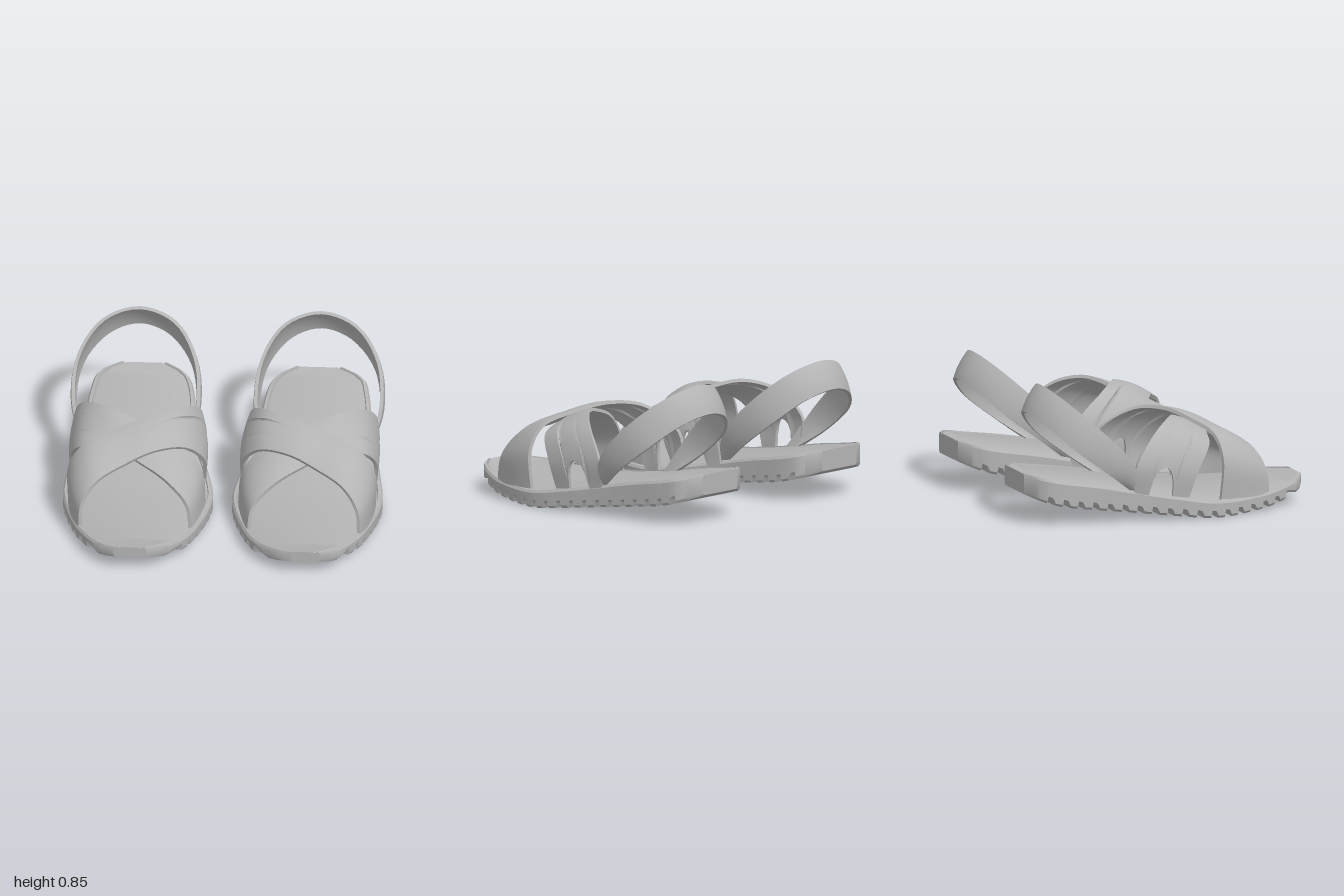
import * as THREE from 'three';
import { toCreasedNormals } from 'three/addons/utils/BufferGeometryUtils.js';

const V = (p) => new THREE.Vector3(...p);

// Skin closed rings (upper row then lower row reversed) and close both ends with strips
function loft(rings, crease) {
  const m = rings[0].length, pos = [], idx = [];
  rings.forEach((r) => r.forEach((p) => pos.push(p.x, p.y, p.z)));
  const quad = (a, b, c, d) => idx.push(a, b, c, a, c, d);
  for (let i = 0; i < rings.length - 1; i++) {
    for (let j = 0; j < m; j++) {
      const k = (j + 1) % m;
      quad(i * m + j, i * m + k, (i + 1) * m + k, (i + 1) * m + j);
    }
  }
  const e = (rings.length - 1) * m;
  for (let j = 0; j < m / 2 - 1; j++) {
    quad(m - 1 - j, m - 2 - j, j + 1, j);
    quad(e + j, e + j + 1, e + m - 2 - j, e + m - 1 - j);
  }
  const g = new THREE.BufferGeometry();
  g.setAttribute('position', new THREE.Float32BufferAttribute(pos, 3));
  g.setIndex(idx);
  return toCreasedNormals(g, crease);
}

// Sole stations from heel to toe: z, inner x, outer x, top y, bottom y
const SOLE = [
  [-0.95, 0.39, 0.71, 0.325, 0.19], [-0.87, 0.28, 0.83, 0.31, 0.155],
  [-0.75, 0.23, 0.87, 0.285, 0.12], [-0.5, 0.2, 0.9, 0.245, 0.085],
  [-0.25, 0.17, 0.935, 0.195, 0.055], [0, 0.1, 0.98, 0.15, 0.025],
  [0.25, 0.06, 1.0, 0.113, 0], [0.6, 0.145, 0.91, 0.12, 0.02],
  [0.8, 0.24, 0.81, 0.145, 0.055], [0.9, 0.35, 0.73, 0.165, 0.08],
  [0.945, 0.44, 0.65, 0.175, 0.1],
];

// Smooth value of one column of the sole table at z
function soleAt(z, c) {
  let i = 0;
  while (i < SOLE.length - 2 && z > SOLE[i + 1][0]) i++;
  const slope = (k) => {
    const a = SOLE[Math.max(k - 1, 0)], b = SOLE[Math.min(k + 1, SOLE.length - 1)];
    return (b[c] - a[c]) / (b[0] - a[0]);
  };
  const p = SOLE[i], q = SOLE[i + 1], h = q[0] - p[0], t = (z - p[0]) / h;
  const t2 = t * t, t3 = t2 * t;
  return p[c] * (2 * t3 - 3 * t2 + 1) + q[c] * (3 * t2 - 2 * t3)
    + h * (slope(i) * (t3 - 2 * t2 + t) + slope(i + 1) * (t3 - t2));
}

// Sole with raised welt, inset footbed and cross grooves underneath
function soleGeometry() {
  const stations = [[-0.95, 0], [-0.92, 0]];
  for (let z = -0.89; z < 0.8; z += 0.095) {
    stations.push([z, 0], [z + 0.045, 0], [z + 0.053, 0.035], [z + 0.08, 0.03]);
  }
  stations.push([0.87, 0], [0.91, 0], [0.945, 0]);
  const edge = [[0, -0.02, 0.015], [0.012, -0.003, 0], [0.03, 0, 0], [0.034, -0.012, 0], [0.05, -0.005, 0]];
  const rings = stations.map(([z, cut]) => {
    const [x0, x1, t, b] = [1, 2, 3, 4].map((c) => soleAt(z, c));
    const cols = [
      ...edge.map(([d, a, l]) => [x0 + d, t + a, b + cut + l]),
      ...edge.map(([d, a, l]) => [x1 - d, t + a, b + cut + l]).reverse(),
    ];
    return [
      ...cols.map(([x, , l]) => V([x, l, z])),
      ...cols.map(([x, u]) => V([x, u, z])).reverse(),
    ];
  });
  return loft(rings, 0.5);
}

// Curved strap between a front edge and a back edge, running from outer to inner side.
// notch: 0 none, 1 cut-out at the outer end, -1 cut-out at the inner end
function strapGeometry(front, back, { bulge = 0.015, thick = 0.022, notch = 0 } = {}) {
  const A = new THREE.CatmullRomCurve3(front.map(V)), B = new THREE.CatmullRomCurve3(back.map(V));
  const NU = 40, NV = 20;
  const point = (t, v) => A.getPoint(t).lerp(B.getPoint(t), v);
  const rings = [];
  for (let i = 0; i <= NU; i++) {
    const outer = [], inner = [];
    for (let j = 0; j <= NV; j++) {
      const v = j / NV, w = (v - 0.53) / 0.21;
      const cut = notch && Math.abs(w) < 1 ? 0.14 * Math.sqrt(1 - w * w) : 0;
      const u = i / NU;
      const t = notch > 0 ? cut + (1 - cut) * u : (1 - cut) * u;
      const t0 = Math.max(t - 0.01, 0), t1 = Math.min(t + 0.01, 1);
      const du = point(t1, v).sub(point(t0, v));
      const n = B.getPoint(t).sub(A.getPoint(t)).cross(du).normalize();
      const p = point(t, v).addScaledVector(n, bulge * 4 * v * (1 - v));
      outer.push(p);
      inner.push(p.clone().addScaledVector(n, -thick));
    }
    rings.push([...outer, ...inner.reverse()]);
  }
  return loft(rings, 0.7);
}

export function createModel() {
  const grey = new THREE.MeshStandardMaterial({ color: 0xb4b4b4 });
  grey.name = 'grey';
  const add = (group, name, geometry) => {
    const mesh = new THREE.Mesh(geometry, grey);
    mesh.name = name;
    group.add(mesh);
  };

  const shoe = new THREE.Group();
  add(shoe, 'sole', soleGeometry());

  // Lower cross strap: outer back to inner front
  add(shoe, 'lowerCrossStrap', strapGeometry(
    [[0.96, 0.12, 0.06], [0.965, 0.31, 0.13], [0.89, 0.45, 0.23], [0.72, 0.5, 0.28],
      [0.5, 0.45, 0.41], [0.33, 0.39, 0.52], [0.2, 0.27, 0.6], [0.17, 0.09, 0.63]],
    [[0.92, 0.16, -0.29], [0.95, 0.37, -0.28], [0.88, 0.54, -0.14], [0.72, 0.61, 0.02],
      [0.5, 0.575, 0.14], [0.27, 0.49, 0.23], [0.13, 0.34, 0.28], [0.1, 0.09, 0.28]],
    { notch: 1, bulge: 0.012 }));

  // Upper cross strap: outer front to inner back
  add(shoe, 'upperCrossStrap', strapGeometry(
    [[0.885, 0.09, 0.64], [0.87, 0.27, 0.62], [0.78, 0.4, 0.56], [0.6, 0.47, 0.45],
      [0.42, 0.515, 0.36], [0.23, 0.48, 0.26], [0.115, 0.33, 0.16], [0.11, 0.12, 0.06]],
    [[0.965, 0.09, 0.28], [0.96, 0.36, 0.3], [0.86, 0.51, 0.28], [0.65, 0.58, 0.2],
      [0.43, 0.62, 0.1], [0.25, 0.59, -0.04], [0.15, 0.42, -0.25], [0.18, 0.16, -0.28]],
    { notch: -1, bulge: 0.02 }));

  // Heel strap: hoop leaning backwards over the heel
  add(shoe, 'heelStrap', strapGeometry(
    [[0.9, 0.17, -0.19], [0.975, 0.42, -0.34], [0.95, 0.63, -0.55], [0.8, 0.79, -0.72], [0.57, 0.85, -0.78],
      [0.34, 0.79, -0.72], [0.2, 0.63, -0.55], [0.17, 0.42, -0.34], [0.23, 0.17, -0.19]],
    [[0.89, 0.17, -0.27], [0.97, 0.32, -0.47], [0.93, 0.49, -0.69], [0.77, 0.63, -0.83], [0.57, 0.68, -0.88],
      [0.37, 0.63, -0.83], [0.22, 0.49, -0.69], [0.18, 0.32, -0.47], [0.24, 0.17, -0.27]],
    { bulge: 0.01 }));

  // Mirrored pair
  const model = new THREE.Group();
  model.name = 'sandals';
  const other = shoe.clone();
  shoe.name = 'leftSandal';
  other.name = 'rightSandal';
  other.scale.x = -1;
  model.add(shoe, other);
  return model;
}
